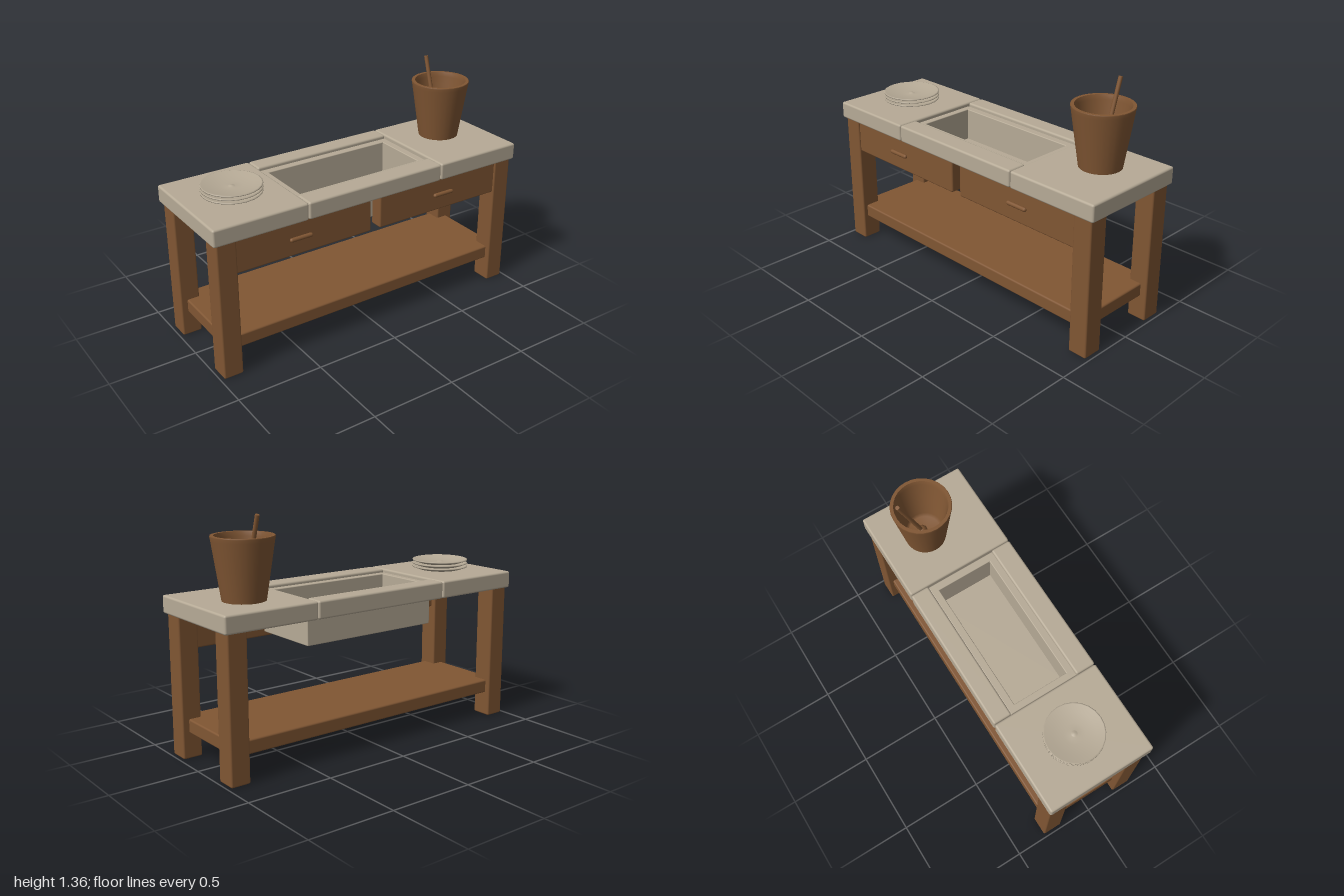
import * as THREE from 'three';
import { RoundedBoxGeometry } from 'three/addons/geometries/RoundedBoxGeometry.js';

const material = (name, color) => {
  const m = new THREE.MeshStandardMaterial({ color });
  m.name = name;
  return m;
};

export function createModel() {
  const model = new THREE.Group();
  model.name = 'washBench';
  const wood = material('wood', 0x805633);
  const stone = material('stone', 0xb6aa96);

  const add = (name, geometry, mat, parent = model) => {
    const mesh = new THREE.Mesh(geometry, mat);
    mesh.name = name;
    parent.add(mesh);
    return mesh;
  };
  // Softly bevelled block given by its limits on each axis
  const block = (name, mat, [x0, x1], [y0, y1], [z0, z1], bevel = 0.01, parent = model) => {
    const mesh = add(name, new RoundedBoxGeometry(x1 - x0, y1 - y0, z1 - z0, 2, bevel), mat, parent);
    mesh.position.set((x0 + x1) / 2, (y0 + y1) / 2, (z0 + z1) / 2);
    return mesh;
  };
  const lathe = (points, segments) =>
    new THREE.LatheGeometry(points.map(([r, y]) => new THREE.Vector2(r, y)), segments);

  // Legs and lower shelf
  for (const sx of [-1, 1]) {
    for (const sz of [-1, 1]) {
      const x = sx * 0.9225, z = sz * 0.25;
      block('leg', wood, [x - 0.0575, x + 0.0575], [0, 0.82], [z - 0.06, z + 0.06]);
    }
  }
  block('shelf', wood, [-0.94, 0.94], [0.145, 0.225], [-0.28, 0.28]);

  // Counter: two end slabs and the strips in front of and behind the basin
  block('leftSlab', stone, [0.44, 1], [0.8, 0.9], [-0.325, 0.325], 0.012);
  block('rightSlab', stone, [-1, -0.445], [0.8, 0.9], [-0.325, 0.325], 0.012);
  block('frontStrip', stone, [-0.442, 0.437], [0.8, 0.9], [0.205, 0.325], 0.012);
  block('backStrip', stone, [-0.442, 0.437], [0.8, 0.9], [-0.325, -0.215], 0.012);

  // Basin: floor and four walls
  const basin = new THREE.Group();
  basin.name = 'basin';
  model.add(basin);
  block('basinFloor', stone, [-0.44, 0.435], [0.635, 0.69], [-0.215, 0.21], 0.006, basin);
  block('basinWall', stone, [-0.44, -0.4], [0.645, 0.88], [-0.215, 0.21], 0.005, basin);
  block('basinWall', stone, [0.39, 0.435], [0.645, 0.88], [-0.215, 0.21], 0.005, basin);
  block('basinWall', stone, [-0.44, 0.435], [0.645, 0.88], [0.165, 0.21], 0.005, basin);
  block('basinWall', stone, [-0.44, 0.435], [0.645, 0.88], [-0.215, -0.17], 0.005, basin);

  // Drawers with rounded bar handles
  for (const s of [-1, 1]) {
    block('drawer', wood, s < 0 ? [-0.88, -0.03] : [0.03, 0.88], [0.605, 0.805], [0.22, 0.3]);
    const handle = add('handle', new THREE.CapsuleGeometry(0.012, 0.116, 4, 10), wood);
    handle.rotation.z = Math.PI / 2;
    handle.position.set(s < 0 ? -0.485 : 0.475, 0.705, 0.308);
  }

  // Stack of three shallow plates
  const plateShape = [
    [0, 0], [0.1, 0], [0.125, 0.003], [0.167, 0.018], [0.167, 0.023], [0.16, 0.025],
    [0.12, 0.013], [0.06, 0.007], [0.02, 0.005], [0.015, 0.01], [0, 0.012],
  ];
  for (let i = 0; i < 3; i++) {
    add('plate', lathe(plateShape, 24), stone).position.set(-0.72, 0.9 + i * 0.02, 0);
  }

  // Mortar pot
  const mortar = new THREE.Group();
  mortar.name = 'mortar';
  mortar.position.set(0.725, 0.9, -0.06);
  model.add(mortar);
  add('potOuter', lathe([[0, 0], [0.118, 0], [0.118, 0], [0.166, 0.315], [0.17, 0.335], [0.168, 0.34]], 28), wood, mortar);
  add('potRim', lathe([[0.168, 0.34], [0.15, 0.34]], 28), wood, mortar);
  add('potInner', lathe([[0.15, 0.34], [0.142, 0.315], [0.105, 0.06], [0.09, 0.045], [0, 0.04]], 28), wood, mortar);

  // Pestle leaning against the back of the pot
  const pestle = new THREE.Group();
  pestle.name = 'pestle';
  pestle.position.set(-0.005, 0.075, -0.018);
  pestle.rotation.x = -0.3;
  mortar.add(pestle);
  add('pestleHandle', new THREE.CylinderGeometry(0.012, 0.012, 0.4, 12), wood, pestle).position.y = 0.198;
  const head = add('pestleHead', new THREE.SphereGeometry(0.03, 16, 10), wood, pestle);
  head.scale.y = 1.2;

  return model;
}
